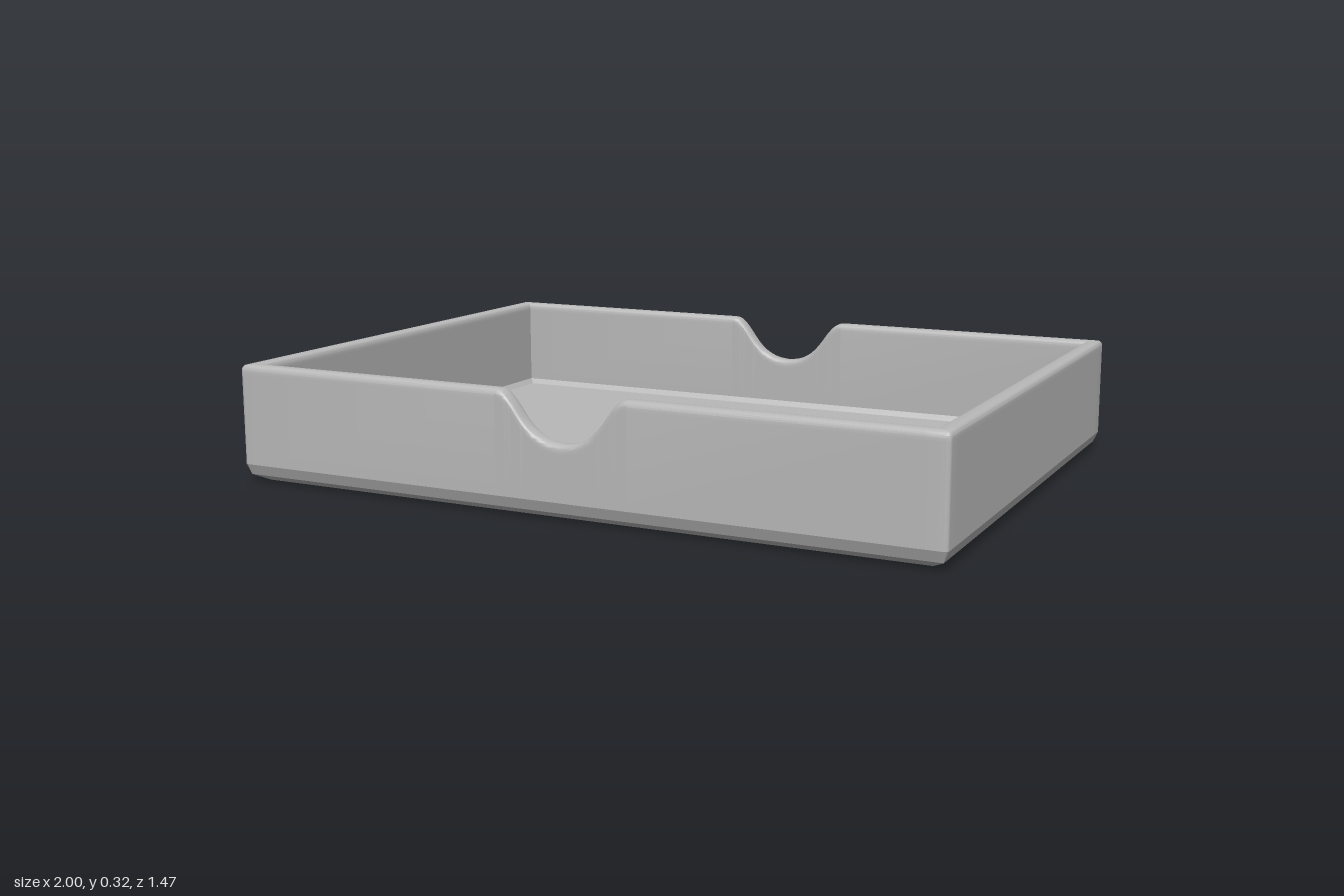
import * as THREE from 'three';
import { toCreasedNormals } from 'three/addons/utils/BufferGeometryUtils.js';

const HX = 1, HZ = 0.735, HEIGHT = 0.325; // half width, half depth, rim height
const WALL = 0.047, FLOOR = 0.05;         // wall and floor thickness
const CORNER = 0.012, ROUND = 0.015;      // upright corner and rim radii

// Half of the finger notch: from its lowest point out to the straight rim
const notch = new THREE.CatmullRomCurve3([
  [0, 0.197], [0.04, 0.203], [0.08, 0.223], [0.11, 0.252], [0.14, 0.292],
  [0.16, 0.314], [0.175, 0.323], [0.19, HEIGHT],
].map(([x, y]) => new THREE.Vector3(x, y, 0))).getPoints(28);

// Cross-section of shell, [inset, y], from centre of underside to centre of floor
function section(top) {
  const points = [[HZ, 0], [0.08, 0], [0.048, 0], [0.013, 0.02], [0, 0.05], [0, top - ROUND - 0.01]];
  const steps = 5;
  for (let i = 0; i <= steps; i++) {
    const a = (i / steps) * Math.PI / 2;
    points.push([ROUND * (1 - Math.cos(a)), top - ROUND * (1 - Math.sin(a))]);
  }
  for (let i = steps; i >= 0; i--) {
    const a = (i / steps) * Math.PI / 2;
    points.push([WALL - ROUND * (1 - Math.cos(a)), top - ROUND * (1 - Math.sin(a))]);
  }
  points.push([WALL, top - ROUND - 0.01], [WALL, 0.065], [WALL + 0.013, FLOOR], [HZ, FLOOR]);
  return points;
}

// Stations around the outline; each one places an inset point in plan
function outline() {
  const stations = [];
  const corner = (sx, sz, start) => {
    for (let i = 0; i <= 5; i++) {
      const a = start + (i / 5) * Math.PI / 2;
      stations.push({ top: HEIGHT, at: (d) => {
        const m = Math.max(d, CORNER), r = Math.max(CORNER - d, 0);
        return [sx * (HX - m) + r * Math.cos(a), sz * (HZ - m) + r * Math.sin(a)];
      } });
    }
  };
  const limit = (v, half, d) => THREE.MathUtils.clamp(v, Math.max(d, CORNER) - half, half - Math.max(d, CORNER));
  const longSide = (s) => {
    const right = notch.map((p) => [p.x, p.y]);
    const left = right.slice(1).map(([x, y]) => [-x, y]);
    const run = [[HX - 0.06, HEIGHT], ...right.reverse(), ...left, [0.06 - HX, HEIGHT]];
    for (const [x, top] of run) stations.push({ top, at: (d) => [limit(s * x, HX, d), s * (HZ - d)] });
  };
  const shortSide = (s) => {
    for (const z of [-0.67, 0.67]) {
      stations.push({ top: HEIGHT, at: (d) => [s * (HX - d), limit(s * z, HZ, d)] });
    }
  };
  corner(1, 1, 0);
  longSide(1);
  corner(-1, 1, Math.PI / 2);
  shortSide(-1);
  corner(-1, -1, Math.PI);
  longSide(-1);
  corner(1, -1, Math.PI * 1.5);
  shortSide(1);
  return stations;
}

// Sweep the section round the outline, skipping collapsed triangles
function shellGeometry() {
  const rings = outline().map(({ top, at }) => section(top).map(([d, y]) => {
    const [x, z] = at(d);
    return new THREE.Vector3(x, y, z);
  }));
  const positions = [];
  const triangle = new THREE.Triangle();
  const add = (a, b, c) => {
    if (triangle.set(a, b, c).getArea() < 1e-9) return;
    for (const p of [a, b, c]) positions.push(p.x, p.y, p.z);
  };
  rings.forEach((ring, i) => {
    const next = rings[(i + 1) % rings.length];
    for (let j = 0; j < ring.length - 1; j++) {
      add(ring[j], ring[j + 1], next[j]);
      add(next[j], ring[j + 1], next[j + 1]);
    }
  });
  const geometry = new THREE.BufferGeometry();
  geometry.setAttribute('position', new THREE.Float32BufferAttribute(positions, 3));
  return toCreasedNormals(geometry, THREE.MathUtils.degToRad(23));
}

export function createModel() {
  const group = new THREE.Group();
  group.name = 'tray';
  const grey = new THREE.MeshStandardMaterial({ color: 0xb8b8b8 });
  grey.name = 'grey';
  const shell = new THREE.Mesh(shellGeometry(), grey);
  shell.name = 'trayShell';
  group.add(shell);
  return group;
}
